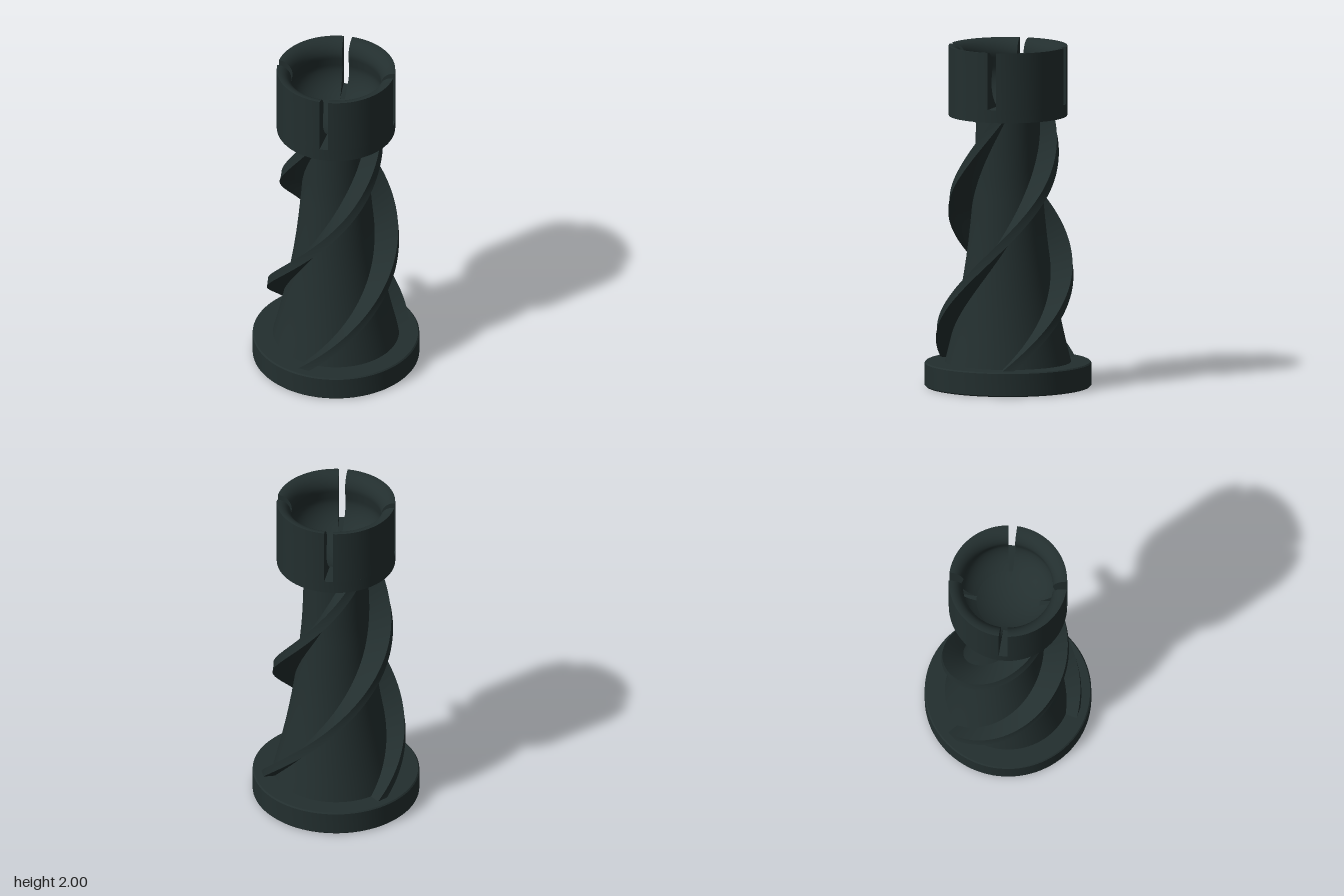
import * as THREE from 'three';
import { toCreasedNormals } from 'three/addons/utils/BufferGeometryUtils.js';

const V = (x, y) => new THREE.Vector2(x, y);
const DEG = Math.PI / 180;

export function createModel() {
  const model = new THREE.Group();
  const dark = new THREE.MeshStandardMaterial({ color: 0x232f2f });
  dark.name = 'dark slate green';
  const darkThin = dark.clone();
  darkThin.side = THREE.DoubleSide;

  const add = (name, geometry, parent = model, material = dark) => {
    const mesh = new THREE.Mesh(geometry, material);
    mesh.name = name;
    parent.add(mesh);
    return mesh;
  };
  const lathe = (points, segments = 96, start = 0, length = Math.PI * 2) =>
    toCreasedNormals(new THREE.LatheGeometry(points, segments, start, length), 0.5);

  // Round foot with a slightly eased edge
  add('base', lathe([V(0, 0), V(0.478, 0), V(0.485, 0.007), V(0.485, 0.136), V(0.478, 0.143), V(0, 0.143)]));

  // Concave tapering core
  const coreCurve = new THREE.SplineCurve([
    V(0.368, 0.14), V(0.32, 0.34), V(0.275, 0.56), V(0.237, 0.8), V(0.21, 1.05), V(0.195, 1.25), V(0.185, 1.6),
  ]);
  const corePoints = coreCurve.getPoints(36);
  add('column', lathe(corePoints));

  // Linear lookup of a radius in a list of profile points
  const radiusAt = (points, y) => {
    for (let i = 1; i < points.length; i++) {
      const a = points[i - 1], b = points[i];
      if (y <= b.y) return a.x + (b.x - a.x) * (y - a.y) / (b.y - a.y);
    }
    return points[points.length - 1].x;
  };
  const finPoints = new THREE.SplineCurve([
    V(0.435, 0.13), V(0.41, 0.37), V(0.388, 0.58), V(0.37, 0.78), V(0.355, 0.96), V(0.332, 1.16), V(0.304, 1.34), V(0.268, 1.6),
  ]).getPoints(36);

  // Spiral fin: a rectangular section turned around the column as it rises
  const finGeometry = () => {
    const steps = 80, y0 = 0.135, y1 = 1.6, half = 0.033;
    const position = [], index = [];
    for (let i = 0; i <= steps; i++) {
      const y = y0 + (y1 - y0) * i / steps;
      const angle = (-9 + 157 * (y - 0.14)) * DEG;
      const inner = radiusAt(corePoints, y) - 0.03, outer = radiusAt(finPoints, y);
      for (const [r, t] of [[inner, -half], [outer, -half], [outer, half], [inner, half]]) {
        position.push(
          r * Math.sin(angle) + t * Math.cos(angle), y,
          r * Math.cos(angle) - t * Math.sin(angle));
      }
    }
    for (let i = 0; i < steps; i++) {
      for (let k = 0; k < 4; k++) {
        const a = i * 4 + k, b = i * 4 + (k + 1) % 4;
        index.push(a, b, b + 4, a, b + 4, a + 4);
      }
    }
    const e = steps * 4;
    index.push(0, 2, 1, 0, 3, 2, e, e + 1, e + 2, e, e + 2, e + 3);
    const g = new THREE.BufferGeometry();
    g.setAttribute('position', new THREE.Float32BufferAttribute(position, 3));
    g.setIndex(index);
    return toCreasedNormals(g, 0.5);
  };
  const fin = finGeometry();
  for (let i = 0; i < 3; i++) add('spiralFin', fin).rotation.y = i * 120 * DEG;

  // Socket head: solid lower ring with a dished floor
  const head = new THREE.Group();
  head.name = 'socketHead';
  model.add(head);
  const slotY = 1.665, R = 0.345;
  const bowl = y => 0.28 * Math.sqrt(Math.max(0, 1 - ((1.82 - y) / 0.205) ** 2));
  const floor = [];
  for (let i = 0; i <= 14; i++) {
    const y = 1.615 + (slotY - 1.615) * (1 - i / 14) ** 2;
    floor.push(V(i === 14 ? 0 : bowl(y), y));
  }
  add('socketFloor', lathe([V(0, 1.59), V(R, 1.59), V(R, slotY), ...floor], 96), head);

  // Four flexible jaws, parted by narrow slots, with a rounded flared mouth
  const jaw = [V(R, slotY), V(R, 2)];
  for (let i = 0; i <= 8; i++) {
    const a = i / 8 * Math.PI / 2;
    jaw.push(V(0.262 + 0.078 * (1 - Math.sin(a)), 1.91 + 0.09 * Math.cos(a)));
  }
  for (let i = 1; i <= 14; i++) {
    const y = 1.91 + (slotY - 1.91) * i / 14;
    jaw.push(V(y > 1.82 ? 0.262 + 0.018 * (1.91 - y) / 0.09 : bowl(y), y));
  }
  const jawEnd = new THREE.ShapeGeometry(new THREE.Shape(jaw));
  const slotCentre = 5.5 * DEG, slotHalf = 4.2 * DEG;
  for (let i = 0; i < 4; i++) {
    const start = slotCentre + slotHalf + i * Math.PI / 2;
    const length = Math.PI / 2 - 2 * slotHalf;
    add('socketJaw', lathe(jaw, 24, start, length), head);
    for (const phi of [start, start + length]) {
      add('jawEnd', jawEnd, head, darkThin).rotation.y = phi - Math.PI / 2;
    }
  }
  return model;
}
